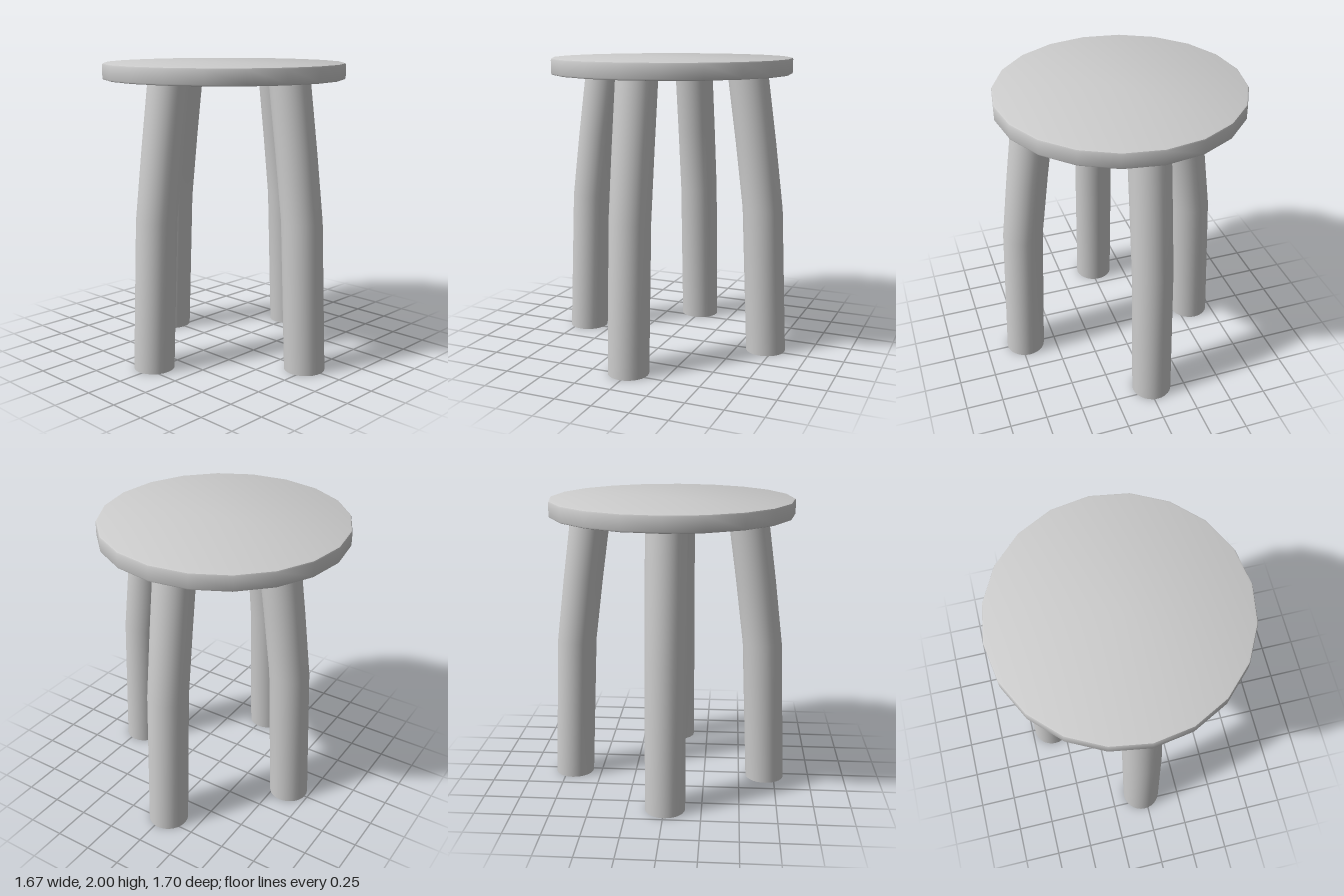
import * as THREE from 'three';
import { toCreasedNormals } from 'three/addons/utils/BufferGeometryUtils.js';

const LEG_RADIUS = 0.135;
// Height and inward shift of each leg ring, from the floor up
const LEG_RINGS = [[0, 0], [1, 0.043], [1.45, 0.1], [1.9, 0.163]];

const material = new THREE.MeshStandardMaterial({ color: 0xcccccc });

function addMesh(group, name, geometry, x, z) {
  const mesh = new THREE.Mesh(toCreasedNormals(geometry, 0.6), material);
  mesh.name = name;
  mesh.position.set(x, 0, z);
  group.add(mesh);
}

// Round leg with level rings, bowed inwards along (dirX, dirZ)
function legGeometry(dirX, dirZ) {
  const last = LEG_RINGS.length - 1;
  const geometry = new THREE.CylinderGeometry(LEG_RADIUS, LEG_RADIUS, last, 28, last);
  const pos = geometry.attributes.position;
  for (let i = 0; i < pos.count; i++) {
    const [height, shift] = LEG_RINGS[Math.round(pos.getY(i) + last / 2)];
    pos.setXYZ(i, pos.getX(i) + dirX * shift, height, pos.getZ(i) + dirZ * shift);
  }
  return geometry;
}

export function createModel() {
  const stool = new THREE.Group();
  stool.name = 'stool';

  // Twenty-sided seat disc with a softened rim
  const r = 0.822, bottom = 1.89, top = 2, b = 0.012;
  const profile = [
    [0, bottom], [r - b, bottom], [r - b * 0.3, bottom + b * 0.3], [r, bottom + b],
    [r, top - b], [r - b * 0.3, top - b * 0.3], [r - b, top], [0, top],
  ].map(([x, y]) => new THREE.Vector2(x, y));
  addMesh(stool, 'seat', new THREE.LatheGeometry(profile, 20), -0.012, -0.027);

  // Four legs: name, foot position, lean direction
  const legs = [
    ['leftLeg', 0.697, -0.025, -1, 0],
    ['rightLeg', -0.685, -0.025, 1, 0],
    ['frontLeg', -0.007, 0.715, 0, -1],
    ['backLeg', -0.007, -0.595, 0, 1],
  ];
  for (const [name, x, z, dirX, dirZ] of legs) {
    addMesh(stool, name, legGeometry(dirX, dirZ), x, z);
  }

  return stool;
}
